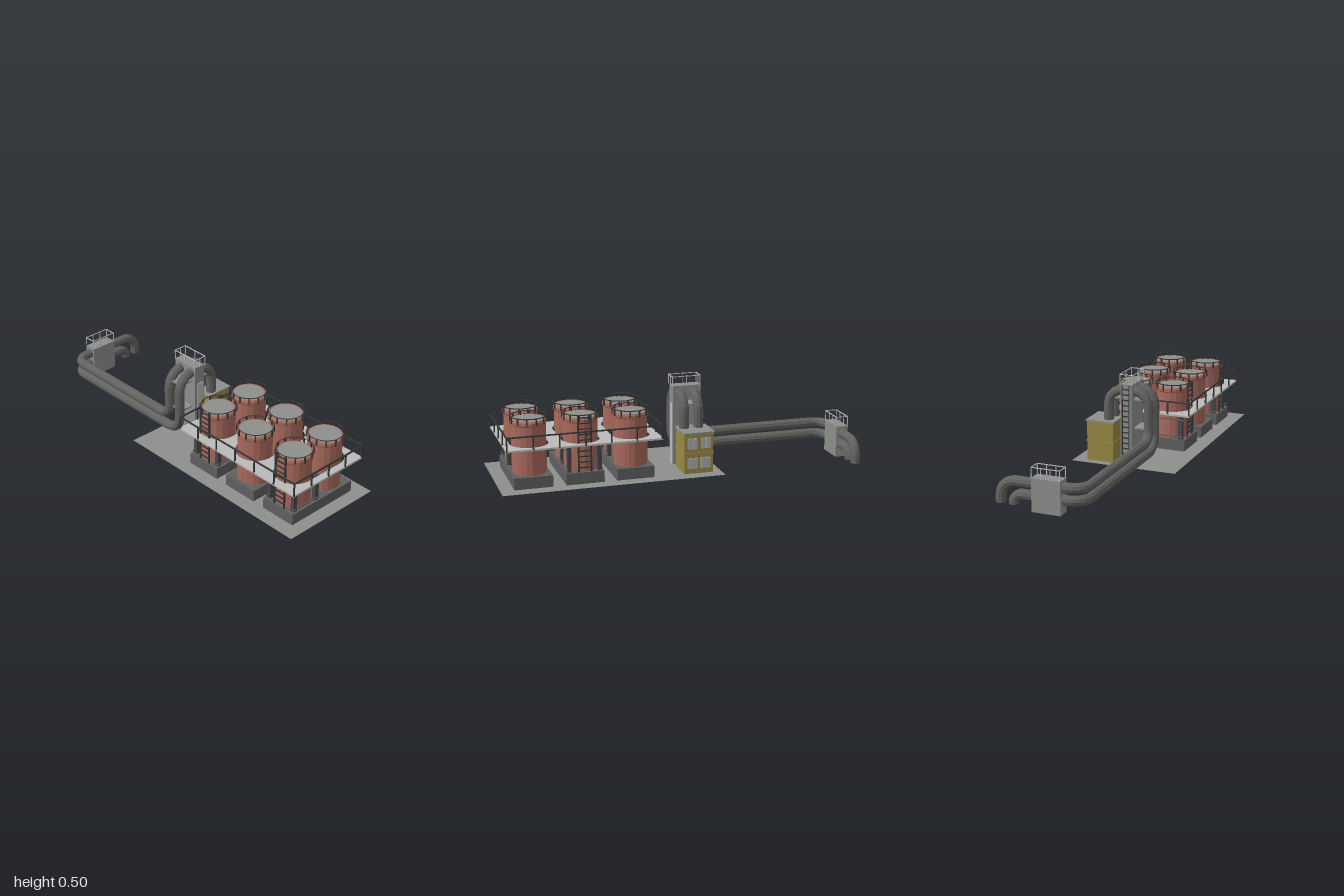
import * as THREE from 'three';

const mat = (name, color, extra = {}) => {
  const m = new THREE.MeshStandardMaterial({ color, flatShading: true, ...extra });
  m.name = name;
  return m;
};

// Polyline whose samples are its own corners, so straights stay one segment long
class PolyPath extends THREE.Curve {
  constructor(pts) { super(); this.pts = pts; }
  getPoint(t) {
    const f = t * (this.pts.length - 1), i = Math.min(Math.floor(f), this.pts.length - 2);
    return this.pts[i].clone().lerp(this.pts[i + 1], f - i);
  }
  getPointAt(t) { return this.getPoint(t); }
  getTangentAt(t) {
    const n = this.pts.length - 1, i = Math.round(t * n), p = this.pts;
    const d = new THREE.Vector3();
    if (i > 0) d.add(p[i].clone().sub(p[i - 1]).normalize());
    if (i < n) d.add(p[i + 1].clone().sub(p[i]).normalize());
    return d.normalize();
  }
}

// Rounds every corner of a square-cornered route; each corner is [x, y, z, bend radius]
function roundedRoute(corners) {
  const v = corners.map(c => new THREE.Vector3(c[0], c[1], c[2]));
  const out = [v[0]];
  for (let i = 1; i < v.length - 1; i++) {
    const r = corners[i][3];
    const a = v[i - 1].clone().sub(v[i]).normalize(), b = v[i + 1].clone().sub(v[i]).normalize();
    for (let k = 0; k <= 5; k++) {
      const t = k / 5 * Math.PI / 2;
      out.push(v[i].clone().addScaledVector(a, r * (1 - Math.sin(t))).addScaledVector(b, r * (1 - Math.cos(t))));
    }
  }
  out.push(v[v.length - 1]);
  return out;
}

export function createModel() {
  const root = new THREE.Group();
  root.name = 'tankYard';
  const ground = mat('concrete grey', 0x8c8f8c, { side: THREE.DoubleSide });
  const light = mat('light steel', 0xb9bab9);
  const dark = mat('dark steel', 0x343836);
  const column = mat('column grey', 0x484848);
  const plinth = mat('plinth grey', 0x5f5f5f);
  const pipeGrey = mat('pipe grey', 0x626261, { side: THREE.DoubleSide });
  const red = mat('tank red', 0xa8695c);
  const ochre = mat('ochre wall', 0x988945);
  const glass = mat('window grey', 0xa9adb0);

  const add = (parent, name, geo, m, x = 0, y = 0, z = 0) => {
    const mesh = new THREE.Mesh(geo, m);
    mesh.name = name;
    mesh.position.set(x, y, z);
    parent.add(mesh);
    return mesh;
  };
  // Box given by its two extreme corners
  const box = (parent, name, m, x0, x1, y0, y1, z0, z1) =>
    add(parent, name, new THREE.BoxGeometry(x1 - x0, y1 - y0, z1 - z0), m, (x0 + x1) / 2, (y0 + y1) / 2, (z0 + z1) / 2);
  const group = (name, x = 0, y = 0, z = 0) => {
    const g = new THREE.Group();
    g.name = name;
    g.position.set(x, y, z);
    root.add(g);
    return g;
  };

  // Rectangular guard rail with nx by nz bays
  function guardRail(name, m, x0, x1, z0, z1, y0, y1, nx, nz, t) {
    const g = group(name), h = t / 2;
    for (const z of [z0, z1]) {
      box(g, 'rail', m, x0 - h, x1 + h, y1 - t, y1, z - h, z + h);
      for (let i = 0; i <= nx; i++) {
        const x = x0 + (x1 - x0) * i / nx;
        box(g, 'post', m, x - h, x + h, y0, y1 - t, z - h, z + h);
      }
    }
    for (const x of [x0, x1]) {
      box(g, 'rail', m, x - h, x + h, y1 - t, y1, z0 + h, z1 - h);
      for (let i = 1; i < nz; i++) {
        const z = z0 + (z1 - z0) * i / nz;
        box(g, 'post', m, x - h, x + h, y0, y1 - t, z - h, z + h);
      }
    }
  }

  // Ladder standing in the local xy plane
  function ladder(parent, m, half, y0, y1, z, t) {
    for (const s of [-1, 1]) box(parent, 'ladderRail', m, s * half - t / 2, s * half + t / 2, y0, y1, z - t / 2, z + t / 2);
    for (let y = y0 + 0.025; y < y1 - 0.01; y += 0.03)
      box(parent, 'ladderRung', m, -half, half, y - 0.003, y + 0.003, z - 0.003, z + 0.003);
  }

  // Yard floor
  add(root, 'yardFloor', new THREE.PlaneGeometry(1.21, 0.6).rotateX(-Math.PI / 2), ground, 0.39, 0.007, 0.03);

  // Tanks in three pairs, each pair on a plinth
  const tankX = [0.265, 0.54, 0.817], tankZ = [0.137, -0.088];
  const tankGeo = new THREE.LatheGeometry([[0.091, 0.07], [0.091, 0.332], [0.095, 0.337], [0.095, 0.352], [0.09, 0.36], [0.083, 0.36]]
    .map(p => new THREE.Vector2(...p)), 18);
  const lidGeo = new THREE.CircleGeometry(0.085, 18).rotateX(-Math.PI / 2);
  const ringGeo = new THREE.TorusGeometry(0.095, 0.003, 4, 18).rotateX(Math.PI / 2);
  const postGeo = new THREE.BoxGeometry(0.007, 0.036, 0.007);
  tankX.forEach((x, i) => {
    box(root, 'plinth', plinth, x - 0.103, x + 0.103, 0.007, 0.07, -0.195, 0.245);
    tankZ.forEach((z, j) => {
      const g = group('tank', x, 0, z);
      add(g, 'tankShell', tankGeo, red);
      add(g, 'tankLid', lidGeo, ground, 0, 0.359, 0);
      add(g, 'lidRail', ringGeo, dark, 0, 0.377, 0);
      for (let k = 0; k < 12; k++) {
        const a = (k + 0.5) / 12 * Math.PI * 2;
        add(g, 'lidPost', postGeo, dark, Math.sin(a) * 0.096, 0.36, Math.cos(a) * 0.096).rotation.y = a;
      }
      // Every other tank has a ladder and a braced frame
      if ((i + j) % 2 === 0) {
        if (j === 1) g.rotation.y = Math.PI;
        ladder(g, dark, 0.034, 0.07, 0.38, 0.099, 0.008);
        for (const sx of [-1, 1]) {
          for (const sz of [-1, 1])
            box(g, 'frameColumn', column, sx * 0.082 - 0.011, sx * 0.082 + 0.011, 0.07, 0.218, sz * 0.078 - 0.012, sz * 0.078 + 0.012);
          for (const y of [0.085, 0.183])
            box(g, 'frameBrace', plinth, sx * 0.094 - 0.003, sx * 0.094 + 0.003, y - 0.003, y + 0.003, -0.1, 0.1);
        }
      }
    });
  });

  // Walkway deck with a long slot around each pair of tanks
  const deck = new THREE.Shape();
  deck.moveTo(0.12, -0.22).lineTo(0.96, -0.22).lineTo(0.96, 0.285).lineTo(0.12, 0.285).closePath();
  for (const x of tankX) {
    const slot = new THREE.Path();
    slot.absarc(x, tankZ[0], 0.104, 0, Math.PI, false);
    slot.absarc(x, tankZ[1], 0.104, Math.PI, Math.PI * 2, false);
    slot.closePath();
    deck.holes.push(slot);
  }
  add(root, 'walkwayDeck', new THREE.ExtrudeGeometry(deck, { depth: 0.01, bevelEnabled: false, curveSegments: 10 })
    .rotateX(Math.PI / 2), light, 0, 0.228, 0);
  guardRail('walkwayRail', dark, 0.124, 0.957, -0.217, 0.282, 0.222, 0.3, 6, 4, 0.007);

  // Tall pipe tower with railing, ladder and pipe brackets
  box(root, 'pipeTower', ground, -0.16, -0.002, 0.007, 0.45, -0.004, 0.061);
  box(root, 'towerPanel', light, -0.002, 0.002, 0.007, 0.35, 0.004, 0.043);
  guardRail('towerRail', light, -0.155, 0.003, -0.008, 0.066, 0.45, 0.505, 2, 2, 0.004);
  for (const y of [0.36, 0.2])
    box(root, 'pipeBracket', ground, -0.13, -0.025, y, y + 0.008, y > 0.3 ? -0.09 : 0, 0.143);
  const towerLadder = group('towerLadder', -0.166, 0, 0.028);
  towerLadder.rotation.y = Math.PI / 2;
  ladder(towerLadder, dark, 0.02, 0.01, 0.45, 0, 0.005);

  // Low pipe tower at the far end
  box(root, 'endTower', ground, -0.996, -0.926, 0, 0.176, -0.122, 0.035);
  guardRail('endTowerRail', light, -0.994, -0.928, -0.12, 0.033, 0.176, 0.232, 1, 3, 0.004);

  // Pipes: out of the roof, over the tower, along the run, around and down
  const runs = [
    { x: -0.037, y: 0.072, low: 0.088, z: -0.235, end: 0.05 },
    { x: -0.118, y: 0.137, low: 0.07, z: -0.308, end: 0.085 },
  ];
  for (const p of runs) {
    const pts = roundedRoute([
      [p.x, 0.23, -0.09], [p.x, 0.411, -0.09, 0.09], [p.x, 0.411, 0.143, 0.09],
      [p.x, p.y, 0.143, p.low], [-0.96, p.y, 0.143, 0.08], [-0.96, p.y, p.z, p.end], [-0.96, 0.018, p.z],
    ]);
    add(root, 'pipe', new THREE.TubeGeometry(new PolyPath(pts), pts.length - 1, 0.027, 10), pipeGrey);
  }

  // Two-storey pump house with roof slab, belt course and windows
  const hx0 = -0.168, hx1 = -0.006, hz0 = -0.198, hz1 = -0.045;
  box(root, 'pumpHouse', ochre, hx0, hx1, 0.007, 0.228, hz0, hz1);
  box(root, 'pumpHouseRoof', ground, hx0 - 0.006, hx1 + 0.006, 0.228, 0.236, hz0 - 0.006, hz1 + 0.006);
  box(root, 'beltCourse', ochre, hx0 - 0.004, hx1 + 0.004, 0.114, 0.122, hz0 - 0.004, hz1 + 0.004);
  for (const y of [0.065, 0.175]) {
    for (const x of [-0.125, -0.05]) {
      box(root, 'windowFrame', light, x - 0.028, x + 0.028, y - 0.03, y + 0.03, hz0 - 0.002, hz0);
      for (const s of [-1, 1])
        box(root, 'windowPane', glass, x + s * 0.013 - 0.011, x + s * 0.013 + 0.011, y - 0.025, y + 0.025, hz0 - 0.004, hz0 - 0.002);
    }
  }
  return root;
}
